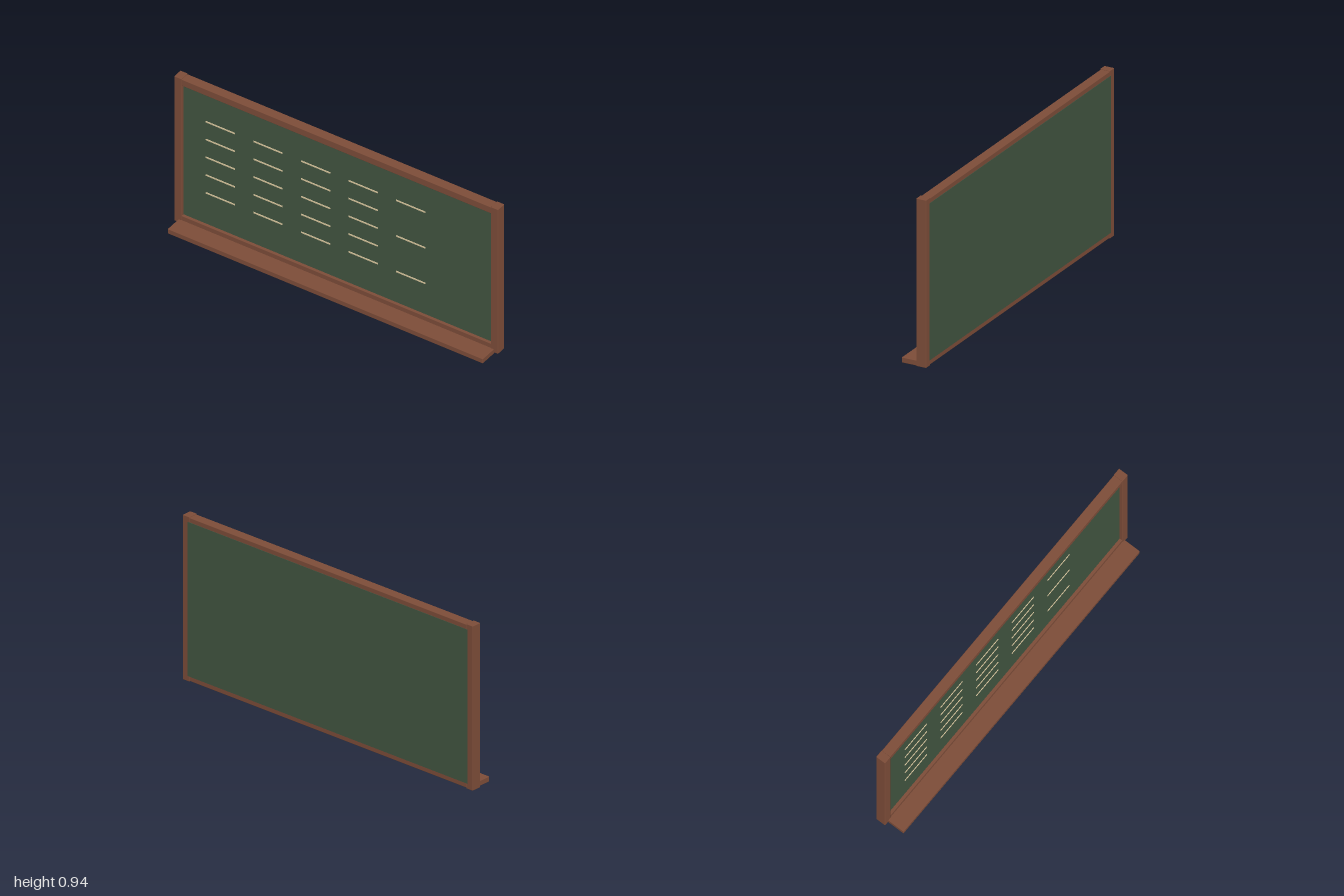
import * as THREE from 'three';
import { RoundedBoxGeometry } from 'three/addons/geometries/RoundedBoxGeometry.js';

const material = (name, color) => {
  const m = new THREE.MeshStandardMaterial({ color });
  m.name = name;
  return m;
};

export function createModel() {
  const group = new THREE.Group();
  group.name = 'chalkboard';
  const wood = material('brown wood', 0x7c4c38);
  const green = material('board green', 0x415440);
  const chalk = material('cream chalk', 0xd6c49c);

  // Box given by its minimum and maximum corners, with optional softened edges
  const box = (name, mat, [x0, y0, z0], [x1, y1, z1], radius = 0) => {
    const size = [x1 - x0, y1 - y0, z1 - z0];
    const geometry = radius
      ? new RoundedBoxGeometry(...size, 2, radius)
      : new THREE.BoxGeometry(...size);
    const mesh = new THREE.Mesh(geometry, mat);
    mesh.name = name;
    mesh.position.set((x0 + x1) / 2, (y0 + y1) / 2, (z0 + z1) / 2);
    group.add(mesh);
  };

  // Writing panel, set back at the front and flush with the frame behind
  box('writingPanel', green, [-0.965, 0.04, -0.079], [0.965, 0.91, -0.038]);

  // Frame: two posts slightly proud of the rails
  box('rightPost', wood, [-1, 0.01, -0.078], [-0.955, 0.94, -0.02], 0.003);
  box('leftPost', wood, [0.955, 0.01, -0.078], [1, 0.94, -0.02], 0.003);
  box('topRail', wood, [-0.957, 0.895, -0.077], [0.957, 0.936, -0.022], 0.003);
  box('bottomRail', wood, [-0.957, 0.014, -0.077], [0.957, 0.058, -0.022], 0.003);

  // Chalk tray along the bottom
  box('chalkTray', wood, [-0.973, 0, -0.055], [0.973, 0.03, 0.079], 0.003);

  // Rows of chalk strokes; every second row is one stroke shorter
  for (let row = 0; row < 5; row++) {
    const y = 0.715 - row * 0.1145;
    const count = row % 2 ? 4 : 5;
    for (let col = 0; col < count; col++) {
      const x = -0.815 + col * 0.2935;
      box('chalkStroke', chalk, [x, y - 0.004, -0.039], [x + 0.18, y + 0.004, -0.035]);
    }
  }
  return group;
}
